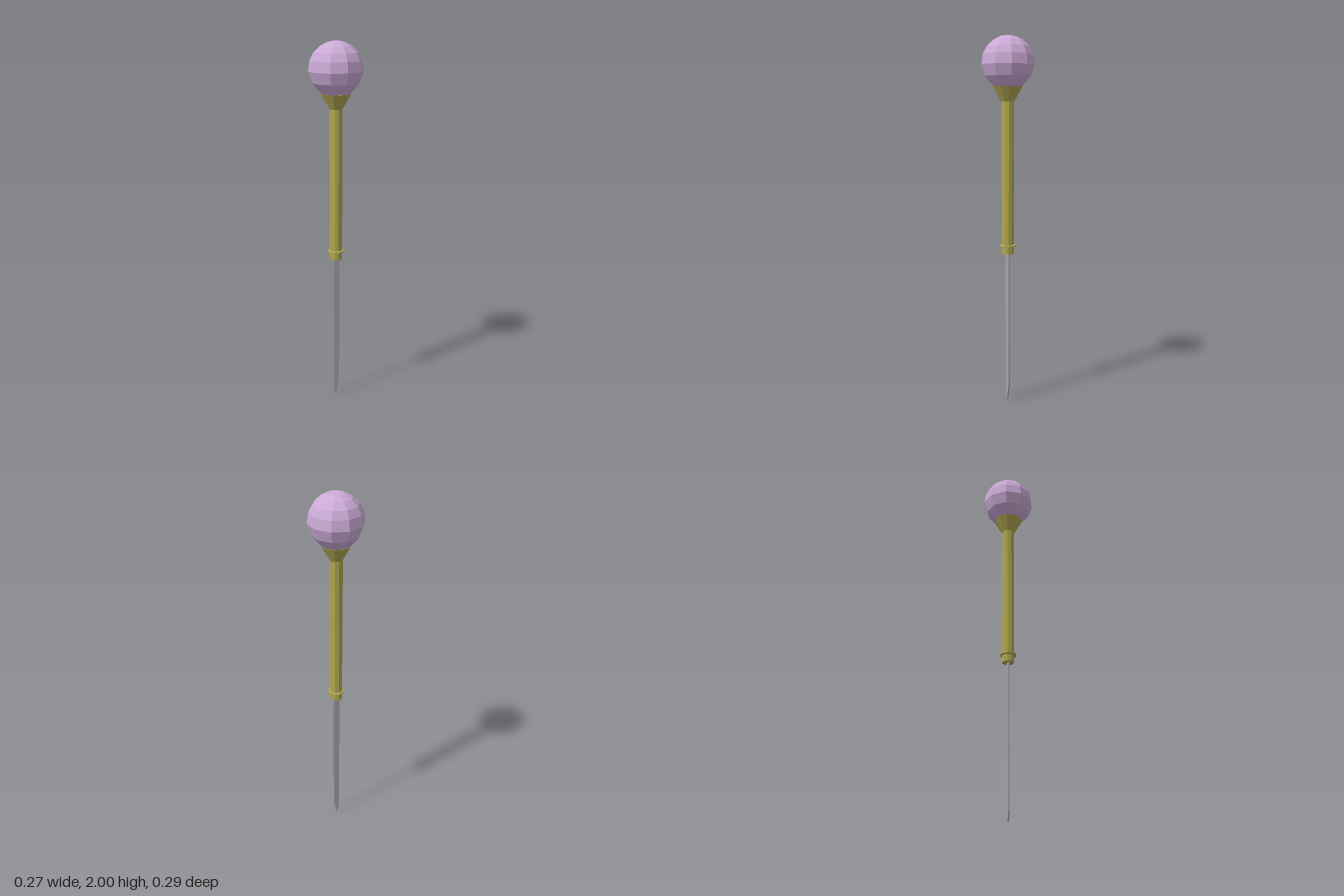
import * as THREE from 'three';

const SIDES = 10;

// Faceted turned part from [radius, height] pairs listed bottom to top
function turned(name, profile, color) {
  const points = profile.map(([r, y]) => new THREE.Vector2(r, y));
  const material = new THREE.MeshStandardMaterial({ color, flatShading: true });
  const mesh = new THREE.Mesh(new THREE.LatheGeometry(points, SIDES), material);
  mesh.name = name;
  return mesh;
}

export function createModel() {
  const model = new THREE.Group();
  model.name = 'orbHandledSpike';
  const brass = 0xb0a552;

  // Faceted ball on top
  model.add(turned('ball', [
    [0, 1.715], [0.075, 1.733], [0.122, 1.788], [0.143, 1.847], [0.136, 1.901],
    [0.116, 1.941], [0.082, 1.973], [0.042, 1.993], [0, 2],
  ], 0xcbaad6));

  // Long grip flaring into a cup under the ball
  model.add(turned('grip', [
    [0, 0.838], [0.033, 0.838], [0.034, 1.655], [0.079, 1.735], [0, 1.735],
  ], brass));

  // Thin collar near the bottom of the grip
  model.add(turned('collar', [
    [0.03, 0.876], [0.045, 0.879], [0.045, 0.886], [0.03, 0.889],
  ], brass));

  // Flat blade with an uneven point
  const outline = new THREE.Shape([
    [-0.018, 0.86], [-0.018, 0.05], [-0.002, 0], [0.018, 0.1], [0.018, 0.86],
  ].map(([x, y]) => new THREE.Vector2(x, y)));
  const depth = 0.008;
  const bladeGeometry = new THREE.ExtrudeGeometry(outline, { depth, bevelEnabled: false });
  bladeGeometry.translate(0, 0, -depth / 2);
  const blade = new THREE.Mesh(
    bladeGeometry,
    new THREE.MeshStandardMaterial({ color: 0xa4a4ac, flatShading: true }),
  );
  blade.name = 'blade';
  model.add(blade);

  return model;
}
